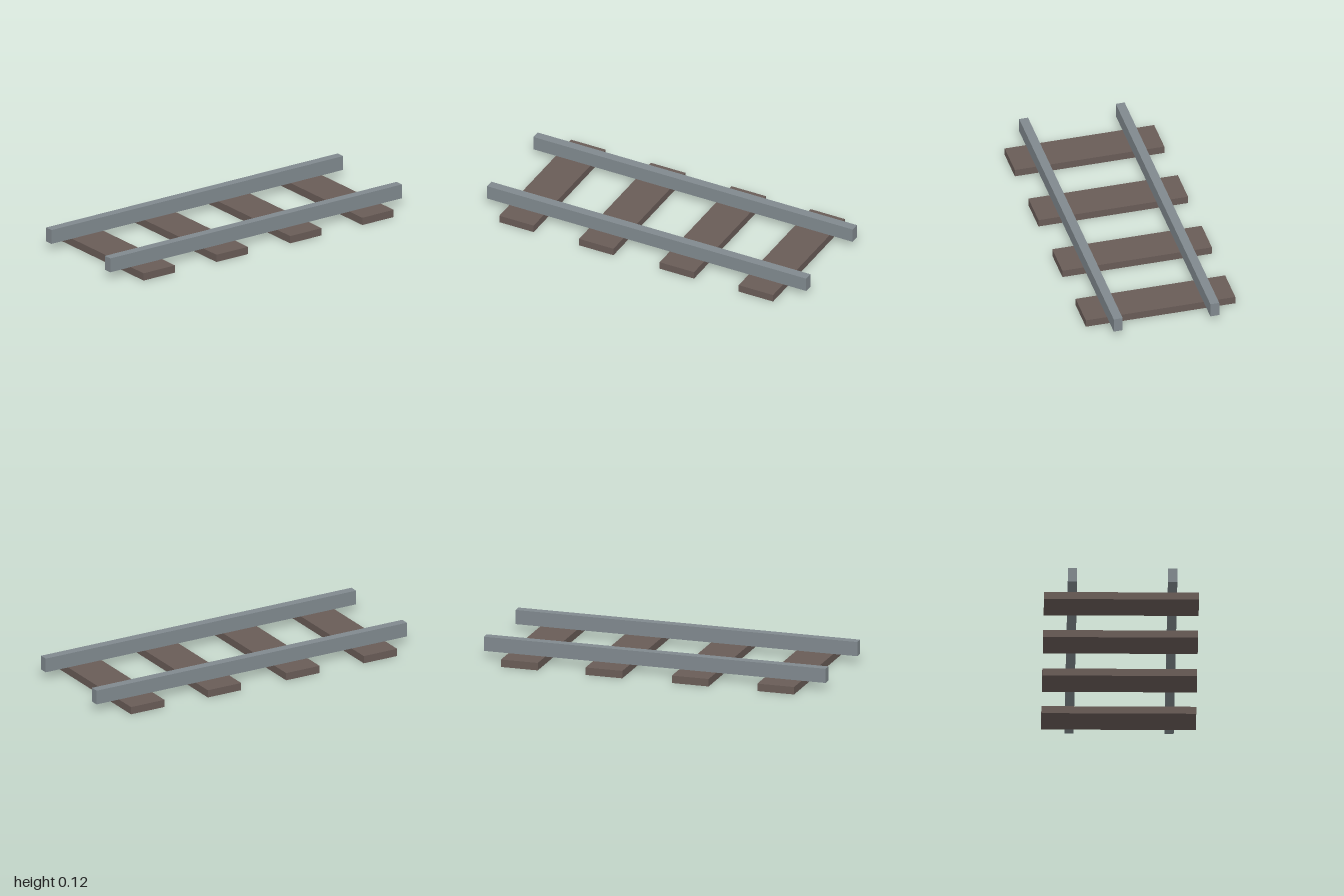
import * as THREE from 'three';

export function createModel() {
  const track = new THREE.Group();
  track.name = 'railwayTrack';

  const steel = new THREE.MeshStandardMaterial({ color: 0x80898e });
  steel.name = 'steelGrey';
  const wood = new THREE.MeshStandardMaterial({ color: 0x695c57 });
  wood.name = 'darkWood';

  const sleeperHeight = 0.043;
  const railHeight = 0.082;

  // Wooden sleepers lying across the track
  const sleeperGeometry = new THREE.BoxGeometry(0.215, sleeperHeight, 0.86);
  [-0.752, -0.252, 0.253, 0.748].forEach((x, i) => {
    const sleeper = new THREE.Mesh(sleeperGeometry, wood);
    sleeper.name = `sleeper${i + 1}`;
    sleeper.position.set(x, sleeperHeight / 2, 0);
    track.add(sleeper);
  });

  // Two steel rails resting on the sleepers
  const railGeometry = new THREE.BoxGeometry(2, railHeight, 0.051);
  for (const [name, z] of [['frontRail', 0.283], ['backRail', -0.273]]) {
    const rail = new THREE.Mesh(railGeometry, steel);
    rail.name = name;
    rail.position.set(0, sleeperHeight + railHeight / 2, z);
    track.add(rail);
  }

  return track;
}
